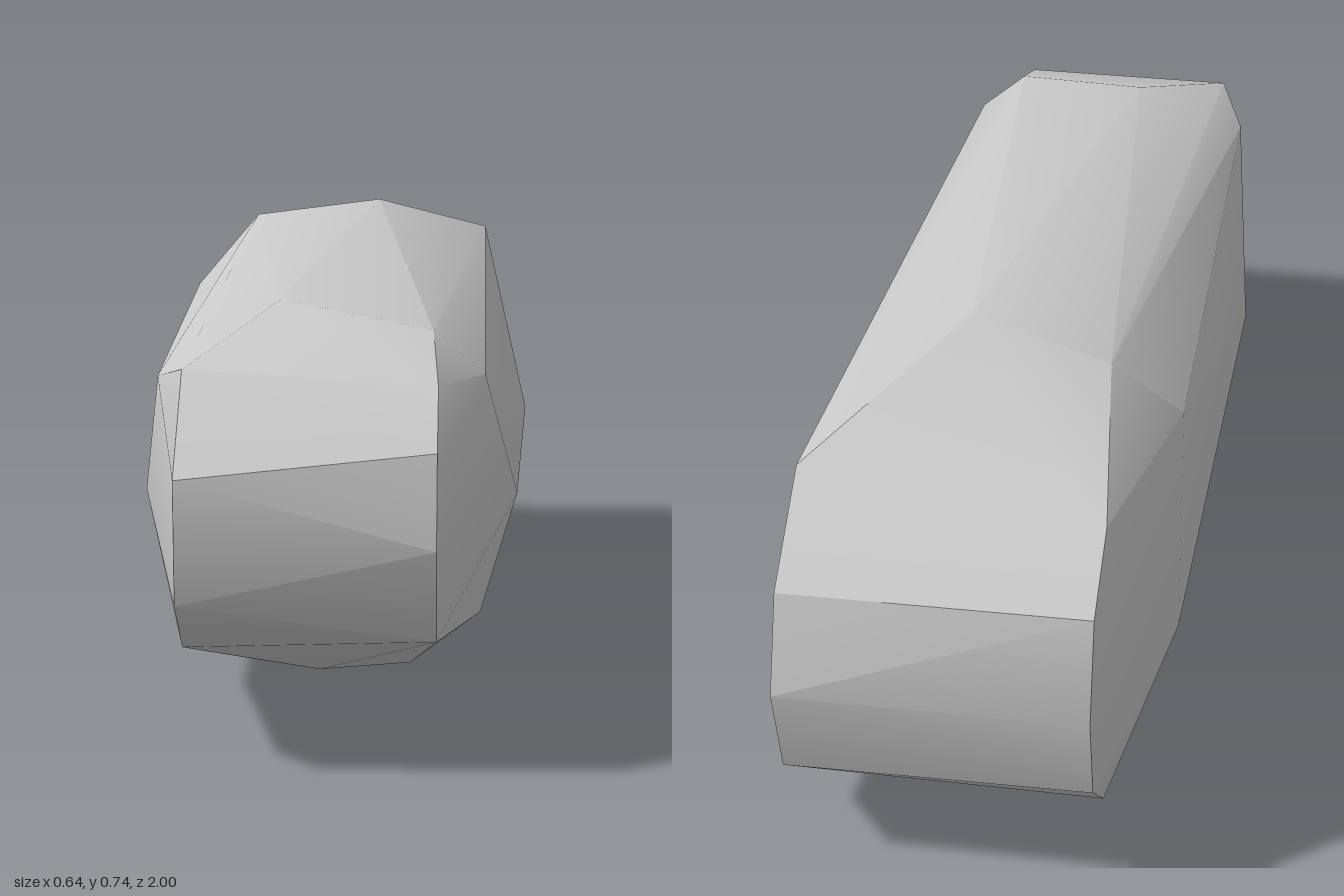
import * as THREE from 'three';
import { ConvexGeometry } from 'three/addons/geometries/ConvexGeometry.js';
import { toCreasedNormals } from 'three/addons/utils/BufferGeometryUtils.js';

// Points that share one x, given as [y, z] pairs
const profile = (x, pairs) => pairs.map(([y, z]) => [x, y, z]);

export function createModel() {
  const group = new THREE.Group();
  group.name = 'stone';
  const stoneGrey = new THREE.MeshStandardMaterial({ color: 0xc8c8c8 });
  stoneGrey.name = 'stone grey';

  const corners = [
    // rounded front end
    ...profile(0.17, [[0.582, 0.87], [0.5, 0.97], [0.36, 1], [0.208, 0.925]]),
    ...profile(-0.215, [[0.6, 0.83], [0.46, 0.985], [0.27, 0.975], [0.18, 0.86]]),
    // rounded back end
    ...profile(0.243, [[0.648, -0.79], [0.52, -0.95], [0.365, -1], [0.2, -0.95], [0.083, -0.8]]),
    ...profile(-0.243, [[0.62, -0.84], [0.53, -0.955], [0.36, -0.985], [0.21, -0.95], [0.115, -0.84]]),
    // top ridge
    [0.04, 0.736, -0.43], [-0.195, 0.7, -0.49], [-0.08, 0.678, 0.61], [0.16, 0.643, 0.7],
    // +x flank
    [0.318, 0.368, -0.25], [0.295, 0.33, 0.39], [0.24, 0.576, 0.7], [0.235, 0.137, 0.43],
    // -x flank
    [-0.302, 0.575, -0.41], [-0.265, 0.57, 0.7], [-0.32, 0.33, 0.38],
    [-0.303, 0.16, -0.41], [-0.265, 0.137, 0.43],
    // underside
    [-0.21, 0.045, -0.49], [-0.07, 0, -0.43], [0.085, 0.008, -0.43],
    [-0.15, 0.055, 0.43], [-0.03, 0.037, 0.43], [0.12, 0.05, 0.43],
  ].map((p) => new THREE.Vector3(...p));

  // Smooth over shallow facets, keep the flank edges crisp
  const body = new THREE.Mesh(toCreasedNormals(new ConvexGeometry(corners), 0.52), stoneGrey);
  body.name = 'stoneBody';
  group.add(body);
  return group;
}
